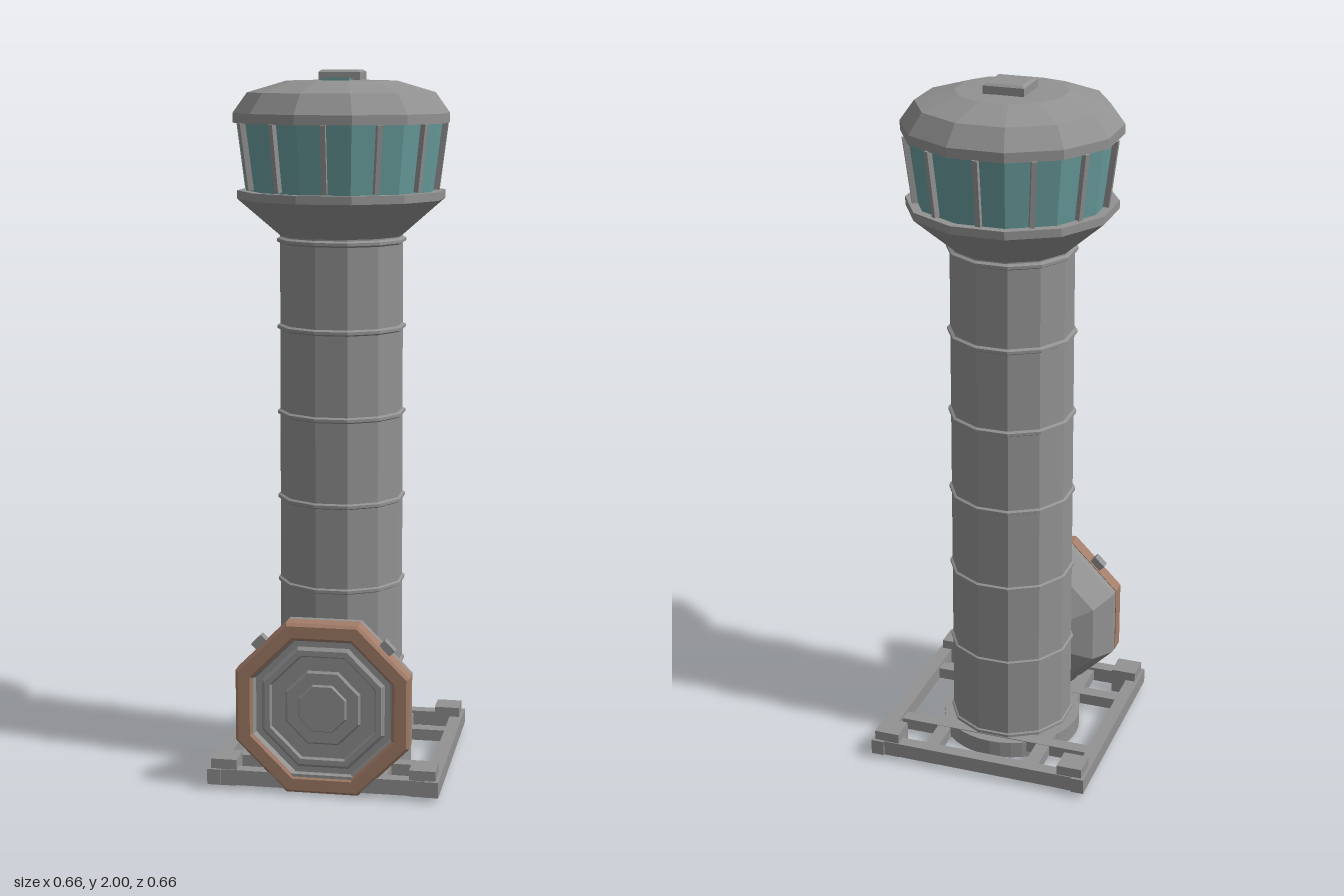
import * as THREE from 'three';

const grey = new THREE.MeshStandardMaterial({ color: 0x929292, flatShading: true });
grey.name = 'concrete grey';
const teal = new THREE.MeshStandardMaterial({ color: 0x699c9c, flatShading: true });
teal.name = 'glass teal';
const brown = new THREE.MeshStandardMaterial({ color: 0xa37d69, flatShading: true });
brown.name = 'rust brown';

function add(parent, name, geometry, material, x = 0, y = 0, z = 0) {
  const mesh = new THREE.Mesh(geometry, material);
  mesh.name = name;
  mesh.position.set(x, y, z);
  parent.add(mesh);
  return mesh;
}

// Box given by its limits
function block(parent, name, material, x0, x1, y0, y1, z0, z1) {
  return add(parent, name, new THREE.BoxGeometry(x1 - x0, y1 - y0, z1 - z0), material,
    (x0 + x1) / 2, (y0 + y1) / 2, (z0 + z1) / 2);
}

// Faceted solid of revolution with flats on the axes; the profile is [apothem, height]
function prism(sides, profile) {
  const k = 1 / Math.cos(Math.PI / sides);
  const points = profile.map(([r, h]) => new THREE.Vector2(r * k, h));
  return new THREE.LatheGeometry(points, sides, Math.PI / sides);
}

function createBase() {
  const base = new THREE.Group();
  base.name = 'base';
  for (const s of [-1, 1]) {
    // Outer frame and the inner grid of beams
    block(base, 'sideBeam', grey, s * 0.309 - 0.019, s * 0.309 + 0.019, 0.015, 0.06, -0.328, 0.328);
    block(base, 'endBeam', grey, -0.29, 0.29, 0.015, 0.059, s * 0.303 - 0.019, s * 0.303 + 0.019);
    block(base, 'crossBeam', grey, -0.29, 0.29, 0.018, 0.052, s * 0.155 - 0.02, s * 0.155 + 0.02);
    block(base, 'lengthBeam', grey, s * 0.155 - 0.02, s * 0.155 + 0.02, 0.018, 0.051, -0.285, 0.285);
    for (const t of [-1, 1]) {
      block(base, 'cornerBlock', grey, s * 0.282 - 0.037, s * 0.282 + 0.037,
        0.012, 0.088, t * 0.282 - 0.037, t * 0.282 + 0.037);
    }
  }
  add(base, 'footDisc', new THREE.CylinderGeometry(0.205, 0.205, 0.05, 40), grey, 0, 0.025, 0);
  return base;
}

function createColumn() {
  const column = new THREE.Group();
  column.name = 'column';
  add(column, 'shaft', prism(12, [[0.172, 0.03], [0.168, 1.55]]), grey);
  // Evenly spaced joint rings
  for (let i = 0; i < 7; i++) {
    const y = 0.06 + i * 0.245;
    add(column, 'jointRing', prism(12, [[0.168, y - 0.01], [0.177, y - 0.005], [0.177, y + 0.003], [0.168, y + 0.008]]), grey);
  }
  return column;
}

function createCab() {
  const cab = new THREE.Group();
  cab.name = 'cab';
  add(cab, 'flaredFloor', prism(12, [[0.166, 1.54], [0.284, 1.645], [0.284, 1.668], [0.24, 1.668]]), grey);
  add(cab, 'windows', prism(12, [[0.258, 1.66], [0.281, 1.86]]), teal);
  add(cab, 'roof', prism(12, [[0.27, 1.855], [0.294, 1.855], [0.294, 1.882], [0.255, 1.938], [0.15, 1.97], [0, 1.974]]), grey);
  // Leaning window bars, one in the middle of every face
  const lean = Math.atan2(0.024, 0.187);
  for (let i = 0; i < 12; i++) {
    const bar = new THREE.Group();
    bar.name = 'windowBar';
    bar.rotation.y = i * Math.PI / 6;
    const post = add(bar, 'post', new THREE.BoxGeometry(0.014, 0.186, 0.016), grey, 0, 1.764, 0.28);
    post.rotation.x = lean;
    cab.add(bar);
  }
  // Roof hatch with a chamfered lid, and the small skylight
  const hatch = new THREE.Group();
  hatch.name = 'roofHatch';
  hatch.position.z = -0.0145;
  add(hatch, 'hatchLid', prism(4, [[0.058, 1.965], [0.058, 1.994], [0.05, 2], [0, 2]]), grey);
  cab.add(hatch);
  block(cab, 'skylight', teal, -0.038, 0.038, 1.971, 1.979, 0.077, 0.102);
  return cab;
}

function createHatchway() {
  const door = new THREE.Group();
  door.name = 'entranceDrum';
  door.position.y = 0.25;
  const ring = (name, profile, material) =>
    add(door, name, prism(8, profile).rotateX(Math.PI / 2), material);
  // Tapering body behind the coloured rim
  ring('drumBody', [[0, 0.1], [0.09, 0.1], [0.205, 0.162], [0.243, 0.25], [0.243, 0.275]], grey);
  ring('drumRim', [[0.243, 0.273], [0.245, 0.273], [0.245, 0.319], [0.237, 0.327], [0.204, 0.327], [0.196, 0.319]], brown);
  // Stepped door face
  ring('doorFace', [[0.196, 0.319], [0.19, 0.303], [0.174, 0.303], [0.165, 0.312], [0.15, 0.312],
    [0.145, 0.304], [0.106, 0.304], [0.1, 0.311], [0.068, 0.311], [0.064, 0.318], [0, 0.318]], grey);
  // Clamps on the upper sloping sides
  for (const s of [-1, 1]) {
    const clamp = add(door, 'clamp', new THREE.BoxGeometry(0.04, 0.03, 0.028), grey, s * 0.178, 0.178, 0.294);
    clamp.rotation.z = -s * Math.PI / 4;
  }
  return door;
}

export function createModel() {
  const model = new THREE.Group();
  model.name = 'controlTower';
  model.add(createBase(), createColumn(), createCab(), createHatchway());
  return model;
}
